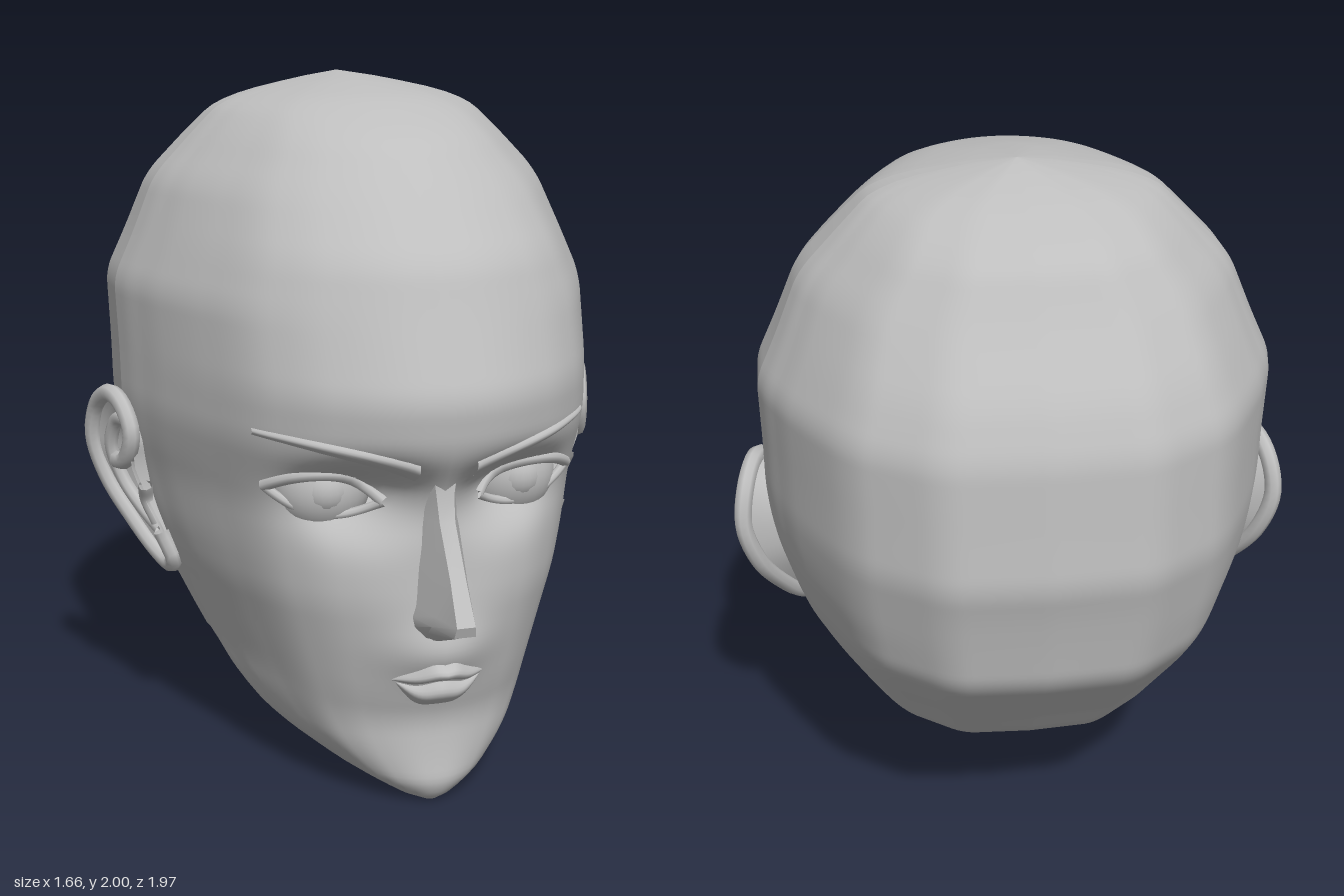
import * as THREE from 'three';
import { toCreasedNormals } from 'three/addons/utils/BufferGeometryUtils.js';

const skin = new THREE.MeshStandardMaterial({ color: 0xbebebe, side: THREE.DoubleSide });
skin.name = 'plain grey';

// Linear lookup in a table sorted by its first column
function lookup(table, t, col = 1) {
  let k = 0;
  while (k < table.length - 2 && t > table[k + 1][0]) k++;
  const a = table[k], b = table[k + 1];
  const f = THREE.MathUtils.clamp((t - a[0]) / (b[0] - a[0]), 0, 1);
  return a[col] + (b[col] - a[col]) * f;
}
// The same, with corners slightly rounded
function soft(table, t, col, w) {
  let sum = 0;
  for (let k = -2; k <= 2; k++) sum += lookup(table, t + k * w / 2, col);
  return sum / 5;
}

// Skull levels: height, half width, front z, back z, z of the widest point
const LEVELS = [
  [0, .06, .72, .5, .6], [.04, .2, .77, .2, .45], [.15, .37, .75, 0, .3], [.25, .46, .74, -.45, .15],
  [.34, .51, .77, -.6, .03], [.5, .585, .79, -.73, -.05], [.6, .63, .8, -.82, -.08],
  [.71, .665, .79, -.915, -.1], [.85, .7, .79, -.94, -.15], [.95, .72, .82, -.96, -.15],
  [1.05, .73, .87, -.985, -.15], [1.19, .73, .885, -.97, -.17], [1.4, .735, .79, -.95, -.2],
  [1.53, .675, .735, -.89, -.2], [1.7, .605, .56, -.76, -.2], [1.84, .47, .405, -.67, -.2],
  [1.93, .375, .18, -.49, -.2], [1.975, .17, .03, -.39, -.22], [2, .001, -.28, -.28, -.28],
];
// Plan outline: share of half width, share of depth
const FRONT = [[0, 1], [.15, .99], [.3, .95], [.48, .87], [.66, .73], [.85, .43], [.96, .2], [1, .06]];
const BACK = [[0, 1], [.38, .98], [.7, .77], [.86, .5], [.96, .3], [1, .14]];
// Lower edge of the open neck and jaw: z, height
const RIM = [[.1, .345], [.28, .18], [.45, .035], [.6, .01], [.72, 0]];

function level(y) {
  const w = Math.max(0, Math.min(.035, 2 - y, y));
  const [W, zf, zb, zc] = [1, 2, 3, 4].map(c => soft(LEVELS, y, c, w));
  return { W, zf, zb, zc };
}
const outline = (table, x) => soft(table, x, 1, Math.min(.06, 1 - x, x));

// Fullness around the mouth, and a hollow around each eye, sharper under the brow
function relief(x, y) {
  const dx = (Math.abs(x) - .215) / .14, dy = (y - .91) / (y > .91 ? .08 : .11);
  const mx = x / .14, my = (y - .47) / .085;
  return .045 * Math.exp(-mx * mx - my * my) - .14 * Math.exp(-dx * dx - dy * dy);
}
function faceZ(x, y) {
  const L = level(y);
  return L.zc + (L.zf - L.zc) * outline(FRONT, Math.min(1, Math.abs(x) / L.W)) + relief(x, y);
}

// Mesh over a grid of points; "closed" joins the last column to the first
function grid(name, nu, nv, point, { closed = false, keep = () => true, crease = 0 } = {}) {
  const pts = [], index = [], cols = closed ? nu : nu + 1;
  for (let j = 0; j <= nv; j++) for (let i = 0; i < cols; i++) pts.push(point(i, j));
  for (let j = 0; j < nv; j++) for (let i = 0; i < nu; i++) {
    const i2 = (i + 1) % cols;
    const a = j * cols + i, b = j * cols + i2, c = b + cols, d = a + cols;
    if (keep([a, b, c, d].map(k => pts[k]))) index.push(a, b, c, a, c, d);
  }
  let geo = new THREE.BufferGeometry();
  geo.setAttribute('position', new THREE.Float32BufferAttribute(pts.flat(), 3));
  geo.setIndex(index);
  if (crease) geo = toCreasedNormals(geo, crease);
  else geo.computeVertexNormals();
  return part(name, geo);
}
function part(name, geo) {
  const mesh = new THREE.Mesh(geo, skin);
  mesh.name = name;
  return mesh;
}
function tube(name, points, radius) {
  const curve = new THREE.CatmullRomCurve3(points.map(p => new THREE.Vector3(...p)));
  return part(name, new THREE.TubeGeometry(curve, 48, radius, 8));
}

// Almond eye opening: its upper and lower edge at u = -1..1 across the eye
const EYE = { x: .29, hw: .155 };
const lidY = (u, up) => .9 + .02 * u + (up ? .065 : -.06) * (1 - u * u);

function inEye(x, y) {
  const u = (Math.abs(x) - EYE.x) / EYE.hw;
  return Math.abs(u) < 1 && y < lidY(u, true) && y > lidY(u, false);
}

function buildSkull() {
  const N = 48, half = [], rows = 120;
  for (let k = 0; k <= N; k++) {
    const x = Math.sin(k / N * Math.PI / 2);
    half.push([x, outline(FRONT, x), true]);
  }
  for (let k = N; k >= 0; k--) {
    const x = Math.sin(k / N * Math.PI / 2);
    half.push([x, outline(BACK, x), false]);
  }
  const ring = [...half, ...half.slice(1, -1).reverse().map(([x, d, f]) => [-x, d, f])];
  const low = ([, y, z]) => y <= lookup(RIM, z) + 1e-6;
  return grid('skull', ring.length, rows, (i, j) => {
    const y = 2 * j / rows, L = level(y), [xn, d, front] = ring[i];
    const x = xn * L.W;
    const z = front ? L.zc + (L.zf - L.zc) * d + relief(x, y) : L.zc + (L.zb - L.zc) * d;
    return [x, Math.max(y, lookup(RIM, z)), z];
  }, {
    closed: true,
    keep: q => {
      const mid = k => q.reduce((s, p) => s + p[k], 0) / 4;
      return !q.every(low) && !(mid(2) > 0 && inEye(mid(0), mid(1)));
    },
  });
}

// Raised strip lying on the face between two edge curves
function strip(name, x0, x1, top, bottom, bulge) {
  return grid(name, 24, 8, (i, j) => {
    const u = i / 12 - 1, v = j / 8, x = x0 + (x1 - x0) * i / 24;
    const y = bottom(u) + (top(u) - bottom(u)) * v;
    return [x, y, faceZ(x, y) - .004 + bulge(u) * Math.sin(Math.PI * v)];
  });
}

// Nose: height, ridge z, half width at the face, half width of the ridge
const NOSE = [
  [.515, .82, .05, .02], [.55, .9, .085, .03], [.58, .975, .09, .03], [.61, .985, .08, .026],
  [.72, .915, .07, .022], [.85, .825, .055, .022], [.92, .805, .045, .025], [.97, .8, .04, .03],
];
function buildNose() {
  return grid('nose', 5, NOSE.length - 1, (i, j) => {
    const [y, ridge, wide, narrow] = NOSE[j];
    const base = faceZ(wide, y) - .015, s = i < 3 ? -1 : 1, k = i < 3 ? i : 5 - i;
    const x = [wide, narrow + (wide - narrow) * .5, narrow][k];
    return [s * x, y, [base, base + (ridge - base) * .5, ridge][k]];
  }, { crease: .6 });
}

function buildEye(s) {
  const g = new THREE.Group();
  g.name = s > 0 ? 'leftEye' : 'rightEye';
  const ball = part('eyeball', new THREE.SphereGeometry(.145, 32, 20));
  ball.position.set(s * .275, .9, .515);
  const iris = part('iris', new THREE.SphereGeometry(.08, 24, 12));
  iris.position.set(s * .28, .905, .586);
  g.add(ball, iris);
  for (const up of [true, false]) {
    const pts = [];
    for (let k = 0; k <= 12; k++) {
      const u = k / 6 - 1, x = EYE.x + EYE.hw * u, y = lidY(u, up);
      pts.push([s * x, y, faceZ(x, y)]);
    }
    g.add(tube(up ? 'upperLid' : 'lowerLid', pts, up ? .017 : .013));
  }
  // Brow sweeps down and thickens towards the nose
  const browTop = u => 1.09 - .07 * ((1 - u) / 2) ** 2;
  const browBottom = u => browTop(u) - .022 - .04 * (1 - u) / 2;
  g.add(strip('brow', s * .08, s * .48, browTop, browBottom, u => .02 - .004 * u));
  return g;
}

// Ear outline seen from the side, from the front of the fold round to the lobe: z, height
const EAR = [
  [.02, .87], [.025, .95], [-.03, 1.03], [-.11, 1.052], [-.19, 1], [-.225, .89], [-.205, .76],
  [-.13, .64], [-.05, .56], [.02, .535], [.06, .56], [.05, .65], [.02, .76],
];
const earX = (z, y) => .715 + (.05 - z) * .33 - Math.max(0, .85 - y) * .35;

function buildEar(s) {
  const g = new THREE.Group();
  g.name = s > 0 ? 'leftEar' : 'rightEar';
  const on = (z, y, dx = 0) => [s * (earX(z, y) + dx), y, z];
  const edge = new THREE.CatmullRomCurve3(EAR.map(([z, y]) => new THREE.Vector3(0, y, z)), true).getPoints(48);
  // Rings shrinking from the rim towards the middle, sunk by the given depths
  const shell = (name, rings) => grid(name, 48, rings.length - 1, (i, j) => {
    const [k, dx] = rings[j], p = edge[i];
    return on(-.08 + (p.z + .08) * k, .83 + (p.y - .83) * k, dx);
  }, { closed: true });
  const path = (name, points, dx, r) => tube(name, points.map(([z, y]) => on(z, y, dx)), r);
  g.add(
    path('earRim', [[-.07, .85], [-.02, .86], ...EAR.slice(1, -1)], -.002, .027),
    shell('earBowl', [[1, 0], [.82, -.02], [.6, -.025], [.45, -.055], [0, -.065]]),
    shell('earBack', [[1, -.01], [.88, -.06], [.72, -.13]]),
    path('earFold', [[-.03, .98], [-.1, .97], [-.145, .88], [-.13, .77], [-.07, .69], [0, .64]], -.02, .022),
    path('earFlap', [[.03, .79], [.005, .74], [.02, .67]], -.015, .022),
  );
  return g;
}

export function createModel() {
  const head = new THREE.Group();
  head.name = 'head';
  head.add(buildSkull(), buildNose());
  // Lips meet along a gently curved mouth line
  const mouth = u => .382 + .006 * Math.cos(u * 6);
  const fade = u => 1 - u * u;
  head.add(
    strip('upperLip', -.14, .14, u => mouth(u) + .07 * fade(u) - .012 * Math.exp(-u * u * 40), mouth, u => .045 * fade(u)),
    strip('lowerLip', -.13, .13, mouth, u => mouth(u) - .085 * fade(u), u => .035 * fade(u)),
  );
  for (const s of [1, -1]) head.add(buildEye(s), buildEar(s));
  return head;
}
